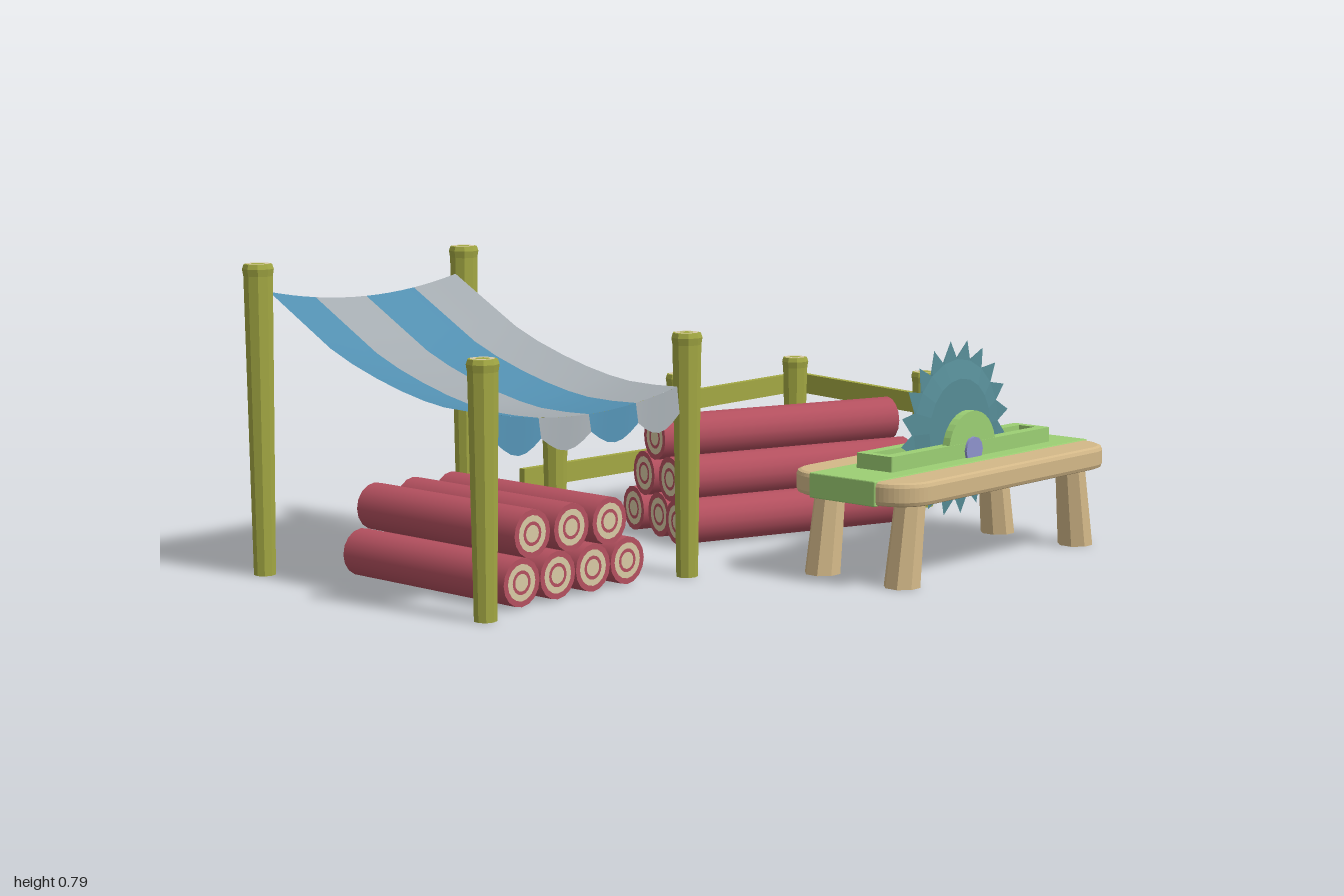
import * as THREE from 'three';

const mat = (color, opts = {}) => new THREE.MeshStandardMaterial({ color, ...opts });
const olive = mat(0xa3a843, { flatShading: true });
const oliveCore = mat(0xa3a843);
const cream = mat(0xd8caa4);
const bark = mat(0xb4505f);
const tan = mat(0xd3b888);
const green = mat(0x9ccf74);
const lavender = mat(0x8e92cc);
const steel = mat(0x568c96, { flatShading: true, side: THREE.DoubleSide });
const blueCloth = mat(0x528fb0, { side: THREE.DoubleSide });
const greyCloth = mat(0xa4abb0, { side: THREE.DoubleSide });

function add(parent, name, geo, material, x = 0, y = 0, z = 0) {
  const m = new THREE.Mesh(geo, material);
  m.name = name;
  m.position.set(x, y, z);
  parent.add(m);
  return m;
}

// Round post, wider at the top, with a pale ring on its cut end
function post(parent, name, x, z, h) {
  const g = new THREE.Group();
  g.name = name;
  g.position.set(x, 0, z);
  const profile = [[0, 0], [0.028, 0], [0.037, h - 0.03], [0.04, h - 0.012], [0.036, h], [0, h]];
  add(g, 'postShaft', new THREE.LatheGeometry(profile.map(p => new THREE.Vector2(...p)), 9), olive);
  add(g, 'postEnd', new THREE.RingGeometry(0.018, 0.031, 9), cream, 0, h + 0.001, 0).rotation.x = -Math.PI / 2;
  parent.add(g);
}

// Log lying along z with growth rings on both ends
function log(parent, x, y, z, length, r = 0.06) {
  const g = new THREE.Group();
  g.name = 'log';
  g.position.set(x, y, z);
  add(g, 'logBark', new THREE.CylinderGeometry(r, r, length, 16, 1, true), bark).rotation.x = Math.PI / 2;
  const rings = [[0.76, 1, bark], [0.5, 0.76, cream], [0.36, 0.5, bark], [0, 0.36, cream]];
  for (const s of [1, -1]) {
    for (const [a, b, m] of rings) {
      const end = add(g, 'logEnd', new THREE.RingGeometry(a * r, b * r, 16, 1), m, 0, 0, s * length / 2);
      if (s < 0) end.rotation.y = Math.PI;
    }
  }
  parent.add(g);
}

// Flat slab in the xz plane with rounded corners and a rectangular slot
function slab(w, d, h, r, bevel, slotW, slotD) {
  const s = new THREE.Shape();
  const a = w / 2, b = d / 2;
  s.moveTo(a - r, -b);
  s.absarc(a - r, -b + r, r, -Math.PI / 2, 0);
  s.absarc(a - r, b - r, r, 0, Math.PI / 2);
  s.absarc(-a + r, b - r, r, Math.PI / 2, Math.PI);
  s.absarc(-a + r, -b + r, r, Math.PI, Math.PI * 1.5);
  const p = slotW / 2, q = slotD / 2;
  s.holes.push(new THREE.Path([[-p, -q], [-p, q], [p, q], [p, -q]].map(v => new THREE.Vector2(...v))));
  const geo = new THREE.ExtrudeGeometry(s, {
    depth: h - 2 * bevel, bevelEnabled: bevel > 0, bevelSize: bevel, bevelThickness: bevel,
    bevelOffset: -bevel, bevelSegments: 2, curveSegments: 6,
  });
  geo.translate(0, 0, bevel);
  return geo.rotateX(-Math.PI / 2);
}

// Toothed disc, thick in the middle and sharp at the rim
function bladeGeometry(teeth) {
  const pos = [];
  const polar = (r, a, z) => [r * Math.cos(a), r * Math.sin(a), z];
  const step = Math.PI * 2 / teeth;
  for (let i = 0; i < teeth; i++) {
    const a = i * step, b = a + step, tip = a + step * 0.35;
    for (const s of [1, -1]) {
      const t = s * 0.015, e = s * 0.003;
      const c = [0, 0, t], p = polar(0.13, a, t), q = polar(0.13, b, t);
      const u = polar(0.18, a, e), v = polar(0.18, b, e), w = polar(0.23, tip, 0);
      for (const tri of [[c, p, q], [p, u, v], [p, v, q], [u, w, v]]) {
        pos.push(...(s > 0 ? tri : tri.reverse()).flat());
      }
    }
  }
  const geo = new THREE.BufferGeometry();
  geo.setAttribute('position', new THREE.Float32BufferAttribute(pos, 3));
  geo.computeVertexNormals();
  return geo;
}

function createCanopy() {
  const g = new THREE.Group();
  g.name = 'canopy';
  for (const x of [-0.96, -0.26]) {
    post(g, 'canopyBackPost', x, -0.67, 0.79);
    post(g, 'canopyFrontPost', x, 0.14, 0.62);
  }
  // Sagging striped cloth with a scalloped front edge
  const slope = new THREE.SplineCurve([[-0.665, 0.718], [-0.52, 0.64], [-0.41, 0.583], [-0.26, 0.533],
    [-0.12, 0.5], [0, 0.485], [0.14, 0.487]].map(p => new THREE.Vector2(...p)));
  const edges = [-0.93, -0.78, -0.61, -0.445, -0.295];
  const sag = x => 0.035 * (1 - ((x + 0.6125) / 0.3175) ** 2);
  for (let i = 0; i < 4; i++) {
    const cloth = i % 2 ? greyCloth : blueCloth;
    const top = new THREE.PlaneGeometry(1, 1, 4, 10);
    const flap = new THREE.PlaneGeometry(1, 1, 6, 1);
    for (const geo of [top, flap]) {
      const p = geo.attributes.position;
      for (let k = 0; k < p.count; k++) {
        const t = p.getX(k) + 0.5, v = 0.5 - p.getY(k);
        const x = THREE.MathUtils.lerp(edges[i], edges[i + 1], t);
        if (geo === top) {
          const s = slope.getPoint(v);
          p.setXYZ(k, x, s.y - sag(x), s.x);
        } else {
          const hem = 0.42 - 0.3 * sag(x) - 0.036 * Math.sin(Math.PI * t);
          p.setXYZ(k, x, v ? hem : 0.487 - sag(x), 0.14 + 0.008 * v);
        }
      }
      geo.computeVertexNormals();
    }
    add(g, 'canopyStripe', top, cloth);
    add(g, 'canopyFlap', flap, cloth);
  }
  return g;
}

function createLogPiles() {
  const g = new THREE.Group();
  g.name = 'logPiles';
  // Pile under the canopy
  for (let i = 0; i < 4; i++) log(g, -0.802 + i * 0.122, 0.061, -0.19, 0.58);
  for (let i = 0; i < 3; i++) log(g, -0.75 + i * 0.123, 0.171, -0.2 + 0.01 * i, 0.57);
  // Slanted pyramid pile inside the fence
  const pile = new THREE.Group();
  pile.name = 'slantedPile';
  pile.position.set(0.42, 0, -0.15);
  pile.rotation.y = Math.PI / 2 - THREE.MathUtils.degToRad(19);
  for (let row = 0; row < 3; row++) {
    for (let i = 0; i < 3 - row; i++) {
      log(pile, (i - (2 - row) / 2) * 0.124, 0.062 + row * 0.106, 0.012 * ((i + row) % 2) - 0.005, 0.745, 0.061);
    }
  }
  g.add(pile);
  return g;
}

function createFence() {
  const g = new THREE.Group();
  g.name = 'fence';
  for (const [x, z] of [[-0.07, -0.52], [0.43, -0.52], [0.94, -0.52], [0.93, -0.025]]) post(g, 'fencePost', x, z, 0.39);
  for (const y of [0.302, 0.152]) {
    add(g, 'backRail', new THREE.BoxGeometry(0.57, 0.055, 0.02), olive, 0.135, y, -0.567).rotation.z = -0.01;
    add(g, 'backRail', new THREE.BoxGeometry(0.55, 0.055, 0.02), olive, 0.695, y, -0.567).rotation.z = 0.01;
    add(g, 'sideRail', new THREE.BoxGeometry(0.02, 0.057, 0.62), olive, 0.985, y - 0.006, -0.26).rotation.x = 0.045;
  }
  return g;
}

function createSawTable() {
  const g = new THREE.Group();
  g.name = 'sawTable';
  g.position.set(0.375, 0, 0.498);
  add(g, 'tableTop', slab(0.91, 0.404, 0.06, 0.1, 0.012, 0.63, 0.05), tan, 0, 0.21, 0);
  add(g, 'greenBand', slab(0.916, 0.21, 0.064, 0.004, 0.003, 0.63, 0.05), green, 0, 0.208, 0);
  add(g, 'bladeFrame', slab(0.68, 0.115, 0.04, 0.004, 0, 0.63, 0.05), green, 0.015, 0.271, -0.004);
  // Splayed legs
  for (const sx of [1, -1]) {
    for (const sz of [1, -1]) {
      const leg = new THREE.CylinderGeometry(0.04, 0.047, 0.215, 8).rotateY(Math.PI / 8);
      const p = leg.attributes.position;
      for (let k = 0; k < p.count; k++) p.setX(k, p.getX(k) - sx * 0.14 * p.getY(k));
      leg.computeVertexNormals();
      add(g, 'tableLeg', leg, mat(0xd3b888, { flatShading: true }), sx * 0.36, 0.1075, sz * 0.128);
    }
  }
  // Blade, its two half-round holders and the axle
  add(g, 'sawBlade', bladeGeometry(20), steel, 0.012, 0.342, -0.003);
  const arch = new THREE.Shape();
  arch.absarc(0, 0, 0.1, 0, Math.PI);
  for (const z of [0.03, -0.056]) {
    const geo = new THREE.ExtrudeGeometry(arch, { depth: 0.022, bevelEnabled: false, curveSegments: 8 });
    add(g, 'bladeHolder', geo, green, 0.012, 0.292, z);
  }
  add(g, 'axle', new THREE.CylinderGeometry(0.035, 0.035, 0.124, 12), lavender, 0.012, 0.29, -0.002).rotation.x = Math.PI / 2;
  return g;
}

export function createModel() {
  const model = new THREE.Group();
  model.name = 'sawmillYard';
  model.add(createCanopy(), createLogPiles(), createFence(), createSawTable());
  return model;
}
